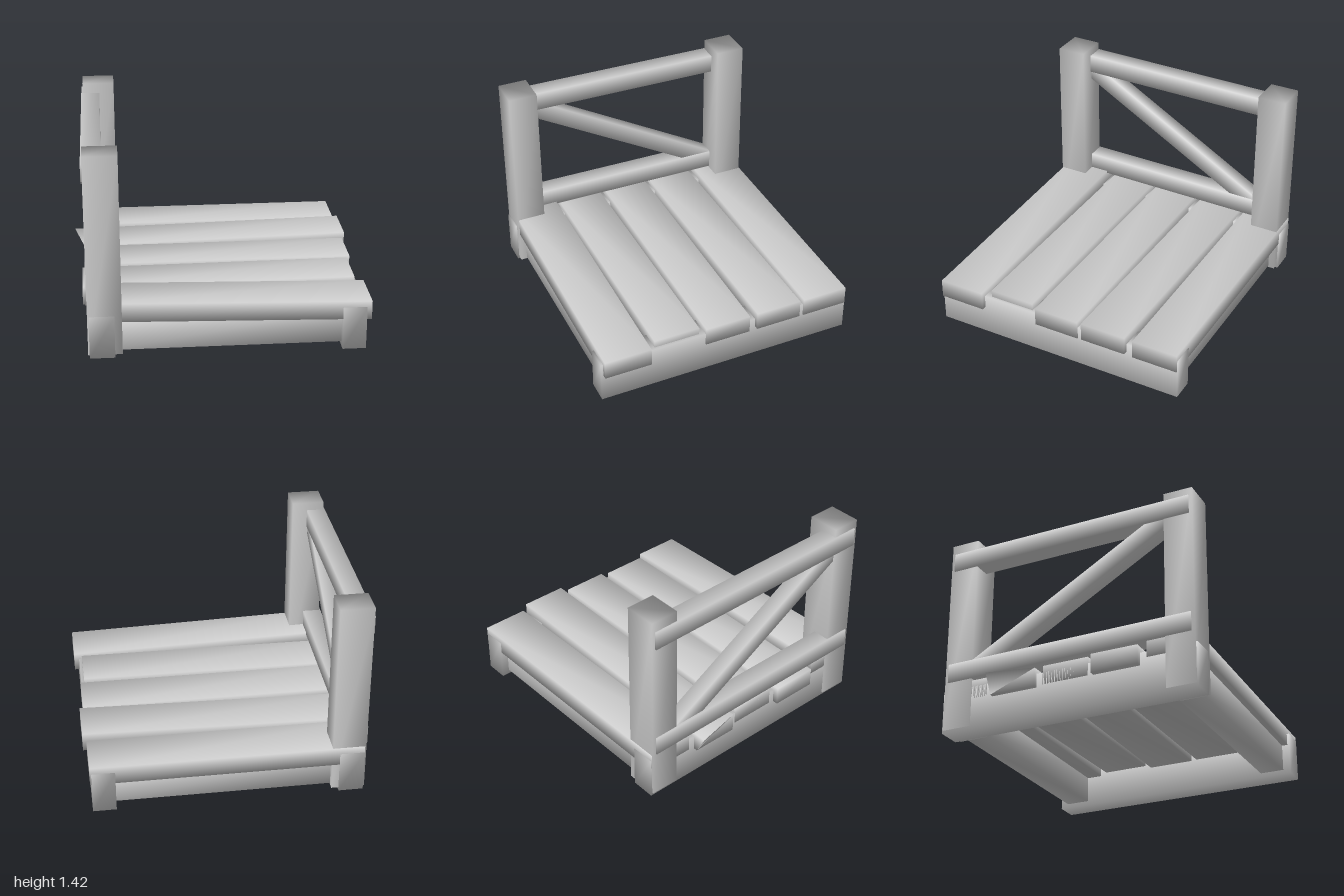
import * as THREE from 'three';
import { mergeVertices } from 'three/addons/utils/BufferGeometryUtils.js';

const material = new THREE.MeshStandardMaterial({ color: 0xcccccc });

// Timber from min/max ranges; the optional warp moves each corner.
// Corners are welded so the shading rolls softly over the edges.
function timber(name, [x0, x1], [y0, y1], [z0, z1], warp) {
  let geo = new THREE.BoxGeometry(x1 - x0, y1 - y0, z1 - z0);
  geo.translate((x0 + x1) / 2, (y0 + y1) / 2, (z0 + z1) / 2);
  geo.deleteAttribute('normal');
  geo.deleteAttribute('uv');
  geo = mergeVertices(geo);
  if (warp) {
    const p = geo.attributes.position, v = new THREE.Vector3();
    for (let i = 0; i < p.count; i++) {
      v.fromBufferAttribute(p, i);
      warp(v);
      p.setXYZ(i, v.x, v.y, v.z);
    }
  }
  geo.computeVertexNormals();
  const mesh = new THREE.Mesh(geo, material);
  mesh.name = name;
  return mesh;
}

export function createModel() {
  const group = new THREE.Group();
  group.name = 'plankPlatform';

  // Side bearers on the ground
  group.add(timber('rightBearer', [-0.9, -0.73], [0, 0.3], [-0.925, 0.925]));
  group.add(timber('leftBearer', [0.8, 0.96], [0, 0.3], [-0.925, 0.925]));

  // Cross joists and tall posts, front and back
  for (const [side, s] of [['front', 1], ['back', -1]]) {
    const z = (a, b) => (s > 0 ? [a, b] : [-b, -a]);
    group.add(timber(side + 'Joist', [-0.8, 0.85], [0.03, 0.27], z(0.7, 0.87)));
    group.add(timber(side + 'Post', [-0.91, -0.68], [0.02, 1.42], z(0.71, 0.915)));
  }

  // Deck planks: x range, z range, bottom height at the -x and +x ends
  const planks = [
    [[-0.9, 0.97], [-0.92, -0.59], 0.215, 0.215],
    [[-0.93, 0.995], [-0.545, -0.215], 0.2, 0.24],
    [[-0.9, 0.97], [-0.17, 0.16], 0.215, 0.215],
    [[-0.94, 0.94], [0.2, 0.53], 0.21, 0.22],
    [[-0.9, 0.995], [0.575, 0.91], 0.26, 0.21],
  ];
  planks.forEach(([xr, zr, yl, yr], i) => {
    group.add(timber('plank' + (i + 1), xr, [0, 0.132], zr, (v) => {
      const top = v.y > 0.06, leftEnd = v.x < 0;
      v.y += leftEnd ? yl : yr;
      // One plank has a splintered, slanting end
      if (i === 1 && leftEnd && top && v.z < -0.4) v.x = -1;
    }));
  });

  // Guard rails, dropping slightly toward the back
  for (const [name, y] of [['topRail', 1.222], ['bottomRail', 0.367]]) {
    group.add(timber(name, [-0.92, -0.787], [y, y + 0.132], [-0.89, 0.89],
      (v) => { v.y += v.z * 0.01; }));
  }

  // Diagonal brace between the posts
  group.add(timber('diagonalBrace', [-0.905, -0.795], [0.835, 0.975], [-0.76, 0.8],
    (v) => { v.y += v.z * 0.57 - 0.07; }));

  return group;
}
